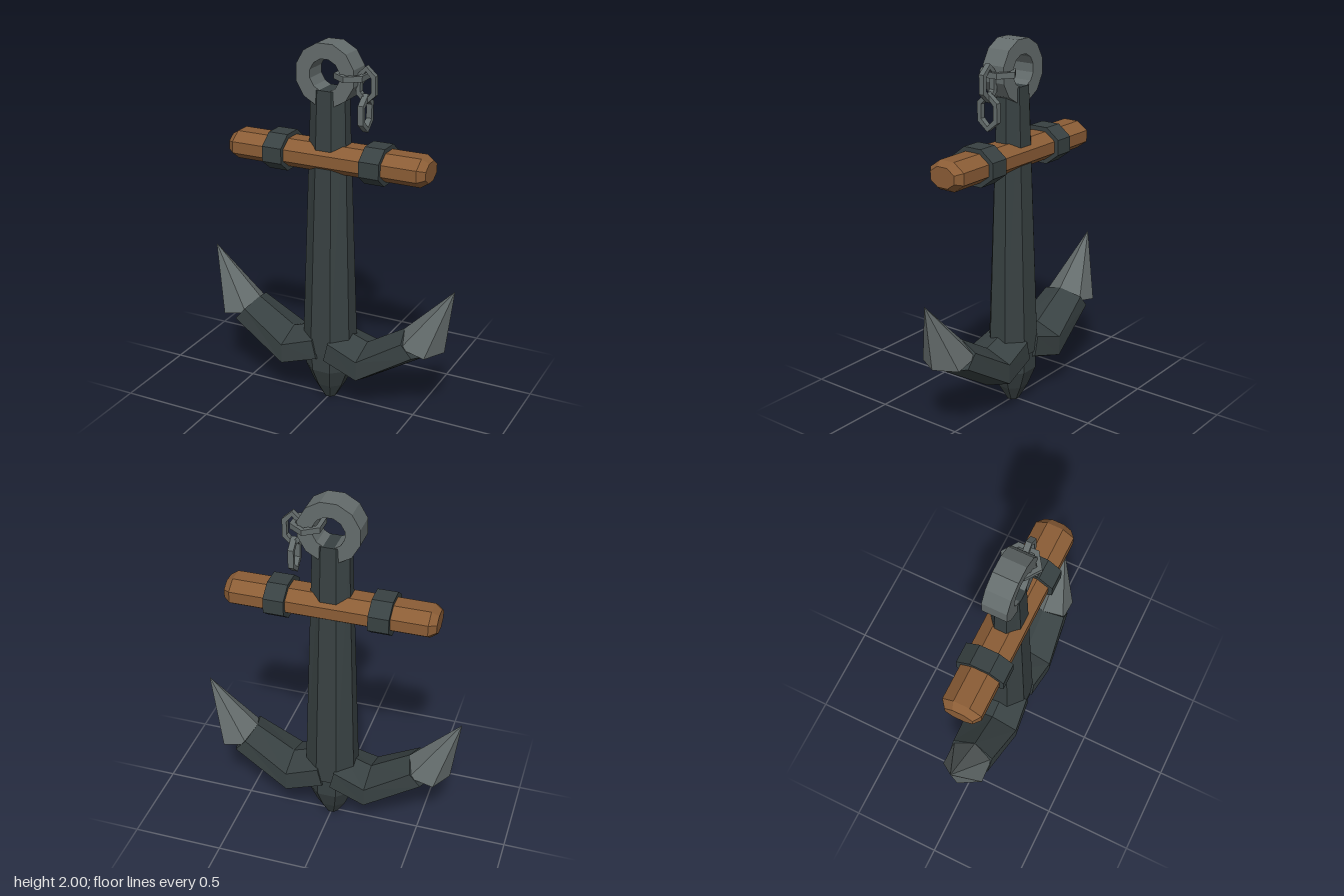
import * as THREE from 'three';

const V = (x, y, z = 0) => new THREE.Vector3(x, y, z);

// Ring of n points around c, spanned by u and v (u x v points along the loft)
function section(c, u, v, n, offset = 0) {
  return Array.from({ length: n }, (_, i) => {
    const a = (i + offset) / n * Math.PI * 2;
    return c.clone().addScaledVector(u, Math.cos(a)).addScaledVector(v, Math.sin(a));
  });
}

// Faceted skin through rings of points, closed at both ends
function loft(rings) {
  const pts = [], n = rings[0].length;
  const cap = (ring, flip) => {
    const mid = ring.reduce((s, p) => s.add(p), V(0, 0)).divideScalar(n);
    ring.forEach((p, i) => {
      const q = ring[(i + 1) % n];
      pts.push(mid, ...(flip ? [q, p] : [p, q]));
    });
  };
  for (let k = 0; k + 1 < rings.length; k++) {
    for (let i = 0; i < n; i++) {
      const j = (i + 1) % n, a = rings[k], b = rings[k + 1];
      pts.push(a[i], a[j], b[j], a[i], b[j], b[i]);
    }
  }
  cap(rings[0], true);
  cap(rings[rings.length - 1], false);
  const g = new THREE.BufferGeometry().setFromPoints(pts);
  g.computeVertexNormals();
  return g;
}

// Flat polygonal ring with a hole, centred in depth
function polyRing(n, rx, ry, bar, depth, offset) {
  const outline = (a, b) => section(V(0, 0), V(a, 0), V(0, b), n, offset).map(p => new THREE.Vector2(p.x, p.y));
  const shape = new THREE.Shape(outline(rx, ry));
  shape.holes.push(new THREE.Path(outline(rx - bar, ry - bar)));
  return new THREE.ExtrudeGeometry(shape, { depth, bevelEnabled: false }).translate(0, 0, -depth / 2);
}

export function createModel() {
  const material = (name, color) => {
    const m = new THREE.MeshStandardMaterial({ color, flatShading: true });
    m.name = name;
    return m;
  };
  const iron = material('dark iron', 0x384142);
  const steel = material('worn steel', 0x646c6c);
  const wood = material('wood', 0x8b5d36);

  const model = new THREE.Group();
  model.name = 'anchor';
  const add = (name, geometry, mat, parent = model) => {
    const m = new THREE.Mesh(geometry, mat);
    m.name = name;
    parent.add(m);
    return m;
  };

  // Tapered octagonal shank and pointed crown: [y, half width, half depth]
  const k = Math.cos(Math.PI / 8);
  const upright = rows => loft(rows.map(([y, x, z]) => section(V(0, y), V(0, 0, z / k), V(x / k, 0), 8, 0.5)));
  add('shank', upright([[0.3, 0.14, 0.122], [1.76, 0.096, 0.07]]), iron);
  add('crown', upright([[0, 0.033, 0.03], [0.09, 0.083, 0.075], [0.195, 0.125, 0.113], [0.38, 0.135, 0.118]]), iron);

  // Wooden stock with chamfered ends, and iron bands: [x, half height, half depth]
  const crosswise = rows => loft(rows.map(([x, y, z]) => section(V(x, 1.4), V(0, y / k, 0), V(0, 0, z / k), 8, 0.5)));
  add('stock', crosswise([[-0.56, 0.052, 0.075], [-0.522, 0.075, 0.105], [0.522, 0.075, 0.105], [0.56, 0.052, 0.075]]), wood);
  for (const s of [-1, 1]) {
    add('stockBand', crosswise([[s * 0.275 - 0.055, 0.098, 0.128], [s * 0.275 + 0.055, 0.098, 0.128]]), iron);
  }

  // Hexagonal bent arms, each ending in a fluke
  const armGeometry = loft([
    section(V(0.035, 0.33), V(0.025, 0.105), V(0, 0, 0.152), 6),
    section(V(0.225, 0.269), V(0, 0.109), V(0, 0, 0.173), 6),
    section(V(0.5, 0.44), V(-0.06, 0.07), V(0, 0, 0.139), 6),
  ]);
  const flukeBase = [
    V(0.44, 0.51), V(0.465, 0.45, 0.117), V(0.6, 0.42, 0.12),
    V(0.667, 0.42), V(0.6, 0.42, -0.12), V(0.465, 0.45, -0.117),
  ];
  const flukeGeometry = loft([flukeBase, flukeBase.map(() => V(0.712, 0.78))]);
  for (const side of ['left', 'right']) {
    const g = new THREE.Group();
    g.name = side + 'Arm';
    add('arm', armGeometry, iron, g);
    add('fluke', flukeGeometry, steel, g);
    if (side === 'right') g.rotation.y = Math.PI;
    model.add(g);
  }

  // Ring on top
  add('ring', polyRing(12, 0.166, 0.166, 0.081, 0.13, 0.5), steel).position.y = 1.838;

  // Three hanging chain links, each turned against the last
  const chain = new THREE.Group();
  chain.name = 'chain';
  model.add(chain);
  const link = (rx, ry) => polyRing(6, rx / Math.cos(Math.PI / 6), ry, 0.027, 0.03, 0.5);
  const flat = add('chainLink', link(0.078, 0.107), steel, chain);
  flat.position.set(0.124, 1.84, 0);
  flat.rotation.x = Math.PI / 2;
  add('chainLink', link(0.053, 0.098), steel, chain).position.set(0.203, 1.8, 0);
  const hanging = add('chainLink', link(0.062, 0.1), steel, chain);
  hanging.position.set(0.198, 1.655, 0);
  hanging.rotation.y = Math.PI / 2;

  return model;
}
